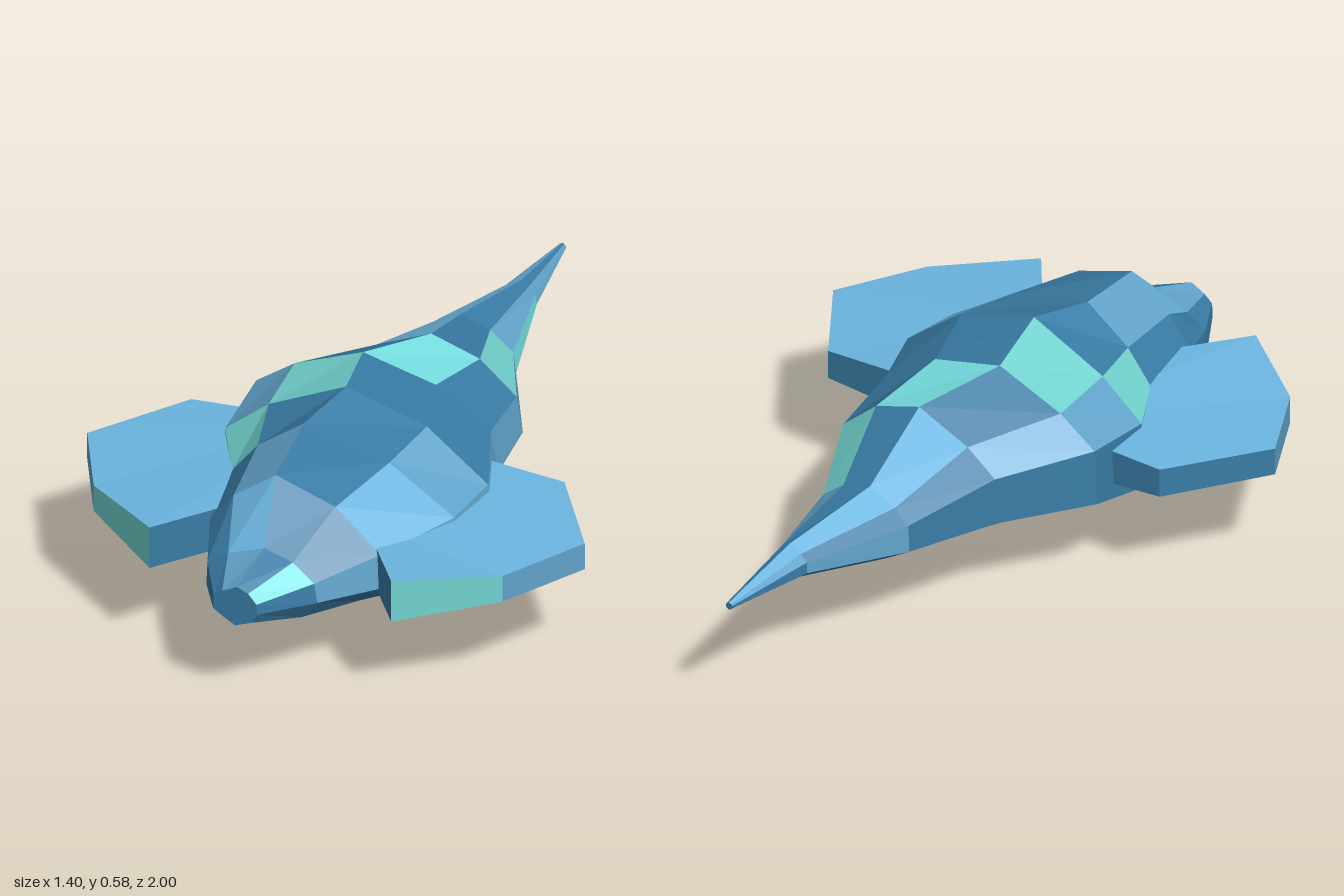
import * as THREE from 'three';

const paint = (name, color) => {
  const m = new THREE.MeshStandardMaterial({ color });
  m.name = name;
  return m;
};

const letters = 'DMLTC';
const palette = [
  paint('deep blue', 0x397ca5),
  paint('steel blue', 0x62a3ca),
  paint('light blue', 0x6bb5e0),
  paint('teal', 0x72d4d0),
  paint('bright cyan', 0x76e0e2),
];

// Faceted mesh from convex polygons, one geometry group per colour
function facetMesh(name, faces) {
  const geometry = new THREE.BufferGeometry();
  const pos = [];
  [...letters].forEach((letter, m) => {
    const start = pos.length / 3;
    for (const { pts, color } of faces) {
      if (color !== letter) continue;
      for (let i = 1; i < pts.length - 1; i++) pos.push(...pts[0], ...pts[i], ...pts[i + 1]);
    }
    const count = pos.length / 3 - start;
    if (count) geometry.addGroup(start, count, m);
  });
  geometry.setAttribute('position', new THREE.Float32BufferAttribute(pos, 3));
  geometry.computeVertexNormals();
  const mesh = new THREE.Mesh(geometry, palette);
  mesh.name = name;
  return mesh;
}

const mix = THREE.MathUtils.lerp;

// Ten-sided body section, clockwise from the top when seen from the front
function section([z, xL, xR, yB, yT, yMid, xTop, xBot]) {
  return [
    [xTop, yT],
    [mix(xTop, xR, 0.57), mix(yMid, yT, 0.76)],
    [xR, mix(yMid, yT, 0.27)],
    [xR * 1.07, mix(yMid, yB, 0.24)],
    [mix(xBot, xR, 0.76), mix(yMid, yB, 0.7)],
    [xBot, yB],
    [mix(xBot, xL, 0.54), mix(yMid, yB, 0.71)],
    [xL * 1.02, mix(yMid, yB, 0.38)],
    [xL, mix(yMid, yT, 0.25)],
    [mix(xTop, xL, 0.64), mix(yMid, yT, 0.62)],
  ].map(([x, y]) => [x, y, z]);
}

function body() {
  // z, left x, right x, bottom y, top y, middle y, crest x, keel x
  const rings = [
    [1.0, -0.09, 0.03, 0.24, 0.355, 0.3, -0.025, -0.03],
    [0.86, -0.17, 0.13, 0.185, 0.4, 0.3, -0.01, -0.02],
    [0.71, -0.23, 0.25, 0.175, 0.53, 0.3, -0.045, 0.0],
    [0.48, -0.27, 0.355, 0.095, 0.555, 0.31, -0.07, 0.03],
    [0.3, -0.37, 0.37, 0.0, 0.58, 0.31, -0.03, 0.05],
    [0.08, -0.38, 0.28, 0.08, 0.555, 0.35, -0.08, 0.02],
    [-0.15, -0.23, 0.25, 0.11, 0.51, 0.33, 0.01, 0.02],
    [-0.42, -0.15, 0.12, 0.18, 0.415, 0.31, -0.03, 0.0],
    [-0.72, -0.045, 0.05, 0.27, 0.37, 0.32, 0.01, 0.0],
    [-1.0, -0.01, 0.01, 0.308, 0.33, 0.32, 0.0, 0.0],
  ].map(section);
  // One row per band from nose to tail, one letter per facet
  const colors = [
    'DCDDDTDDDM',
    'DDMDDDDDDL',
    'DLMDDDDDDM',
    'DMMDDDDTTD',
    'DDMLDDDDMT',
    'CDMTDMDDMD',
    'DTMMTDDDDL',
    'DMCTDDDMDL',
    'DMLDDDDDML',
  ];
  const faces = [
    { pts: [...rings[0]].reverse(), color: 'D' },
    { pts: rings[9], color: 'D' },
  ];
  colors.forEach((row, i) => {
    for (let k = 0; k < 10; k++) {
      const n = (k + 1) % 10;
      faces.push({ pts: [rings[i][k], rings[i][n], rings[i + 1][n], rings[i + 1][k]], color: row[k] });
    }
  });
  return facetMesh('body', faces);
}

// Flat side fin, thinner at the outer edge
function fin(name, side) {
  const outline = [
    [0.15, 0.59, 0.06], [0.34, 0.845, 0.06], [0.575, 0.67, 0.038],
    [0.7, 0.43, 0.038], [0.525, 0.165, 0.04], [0.15, 0.155, 0.06],
  ];
  const edgeColors = 'DTMDDD';
  const at = ([x, z, h], s) => [x * side, 0.316 + h * s, z];
  const top = outline.map((p) => at(p, 1));
  const bottom = outline.map((p) => at(p, -1));
  const faces = [
    { pts: top, color: 'L' },
    { pts: [...bottom].reverse(), color: 'D' },
  ];
  outline.forEach((_, i) => {
    const n = (i + 1) % outline.length;
    faces.push({ pts: [top[i], bottom[i], bottom[n], top[n]], color: edgeColors[i] });
  });
  // Mirroring flips the corner order
  if (side < 0) faces.forEach((f) => { f.pts = [...f.pts].reverse(); });
  return facetMesh(name, faces);
}

export function createModel() {
  const model = new THREE.Group();
  model.name = 'finnedCreature';
  model.add(body(), fin('leftFin', 1), fin('rightFin', -1));
  return model;
}
